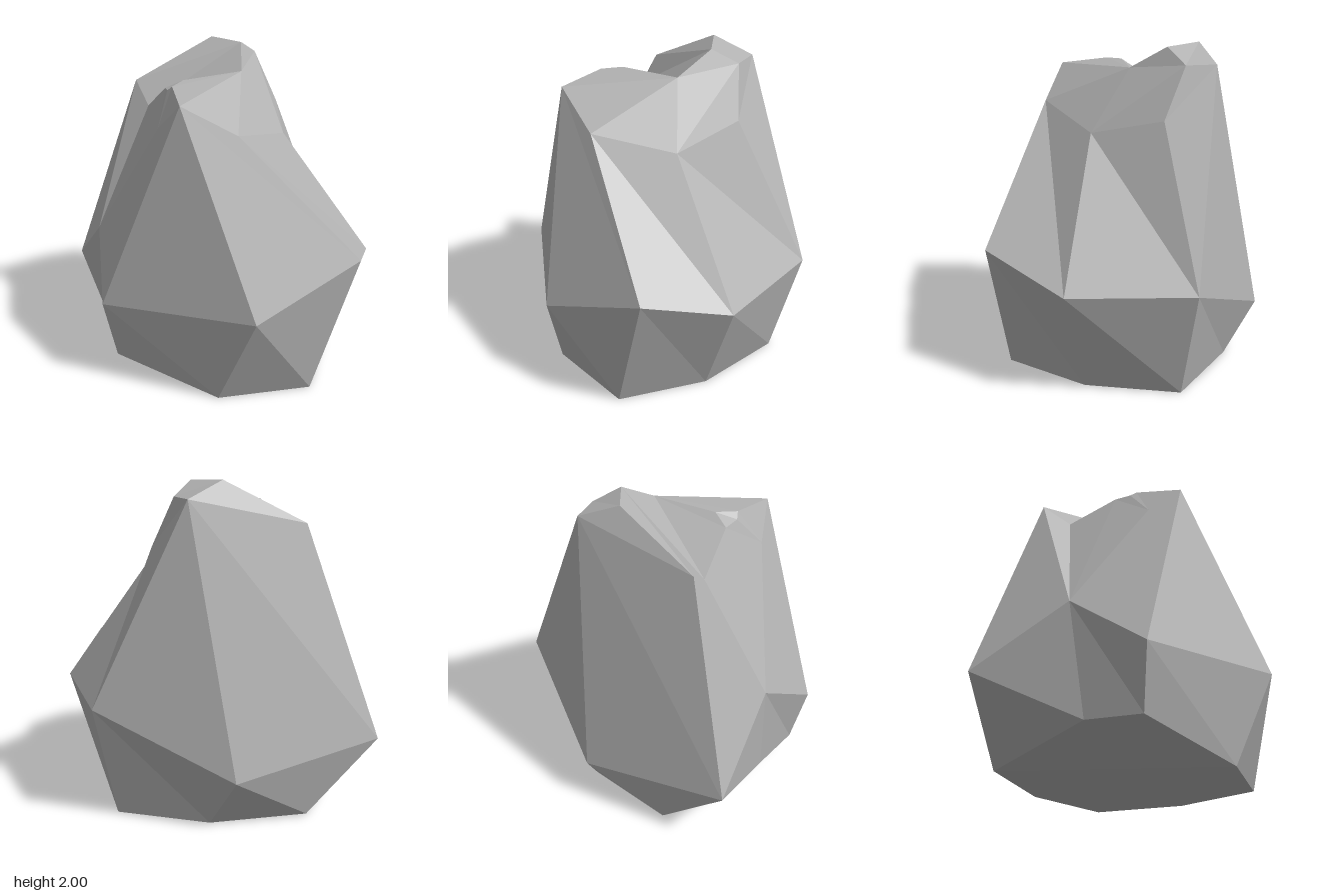
import * as THREE from 'three';

// Corner points of the boulder, grouped in rings from the ground up: [x, y, z]
const rings = {
  // base outline on the ground (b0-b5) and its raised left-hand chamfer (b6, b7)
  b: [[0.02, 0, 0.69], [0.59, 0, 0.56], [0.71, 0, 0], [0.595, 0, -0.575],
    [0.03, 0, -0.7], [-0.55, 0.01, -0.58], [-0.69, 0.16, 0.12], [-0.62, 0.16, 0.45]],
  // widest ring
  w: [[0.24, 0.6, 0.86], [0.86, 0.87, 0.55], [0.98, 0.7, 0.005], [0.71, 0.7, -0.7],
    [-0.13, 0.32, -0.86], [-0.98, 0.455, -0.46], [-0.76, 0.86, 0.05], [-0.69, 0.545, 0.51]],
  // shoulder
  s: [[-0.2, 1.79, 0.5], [0.13, 1.61, 0.475], [0.41, 1.505, 0.06], [0.38, 1.605, -0.38],
    [-0.53, 1.74, -0.33], [-0.44, 1.61, -0.18], [-0.34, 1.61, 0.34]],
  // front ledge and the chipped notch beside it
  n: [[0.15, 1.855, -0.09], [-0.2, 1.84, 0.09], [-0.31, 1.79, 0.08],
    [-0.29, 1.8, 0.18], [-0.26, 1.83, 0.21]],
  // peak
  p: [[-0.04, 2, -0.46], [0.15, 1.905, -0.62], [0.24, 1.905, -0.46], [0.15, 1.99, -0.32]],
};

// Facets as loops of corners
const facets = [
  // underside
  'b0 b1 b2 b3 b4', 'b0 b4 b5', 'b0 b5 b6', 'b0 b6 b7',
  // lower sides
  'w0 b0 b1 w1', 'w1 b1 b2 w2', 'w2 b2 b3 w3', 'w3 b3 b4 w4',
  'w4 b4 b5', 'w4 b5 w5', 'w5 b5 b6', 'w5 b6 w6', 'w6 b6 b7', 'w6 b7 w7', 'w7 b7 b0 w0',
  // upper sides
  's0 s6 w7 w0', 's0 w0 w1 s1', 's1 w1 w2 s2', 's2 w2 w3 s3', 's3 w3 p1 p2', 'w3 w4 p1',
  'p1 w4 w5 s4 p0', 's4 w5 w6',
  // left flank, running up to the notch
  's4 s5 w6', 's5 n2 w6', 'n2 s6 w6', 'n2 n3 s6', 'n3 n4 s6', 'n4 s0 s6', 'w6 s6 w7',
  // ledge and notch
  'n0 s0 s1 s2', 'n0 n1 n4 s0', 'n0 s5 n2 n1', 'n1 n2 n3 n4',
  // peak
  'p3 n0 s5 s4 p0', 'p2 p3 n0 s2 s3', 'p0 p1 p2 p3',
];

function facetedGeometry() {
  const centre = new THREE.Vector3(0, 0.9, 0);
  const corner = (key) => new THREE.Vector3(...rings[key[0]][Number(key[1])]);
  const positions = [];
  for (const facet of facets) {
    const loop = facet.split(' ').map(corner);
    for (let i = 1; i < loop.length - 1; i++) {
      let [a, b, c] = [loop[0], loop[i], loop[i + 1]];
      // turn every triangle away from the centre
      const normal = b.clone().sub(a).cross(c.clone().sub(a));
      if (normal.dot(a.clone().sub(centre)) < 0) [b, c] = [c, b];
      for (const v of [a, b, c]) positions.push(v.x, v.y, v.z);
    }
  }
  const geometry = new THREE.BufferGeometry();
  geometry.setAttribute('position', new THREE.Float32BufferAttribute(positions, 3));
  geometry.computeVertexNormals();
  return geometry;
}

export function createModel() {
  const stone = new THREE.MeshStandardMaterial({ color: 0xb2b2b2, flatShading: true });
  stone.name = 'grey stone';

  const boulder = new THREE.Mesh(facetedGeometry(), stone);
  boulder.name = 'boulder';

  const group = new THREE.Group();
  group.name = 'rock';
  group.add(boulder);
  return group;
}
